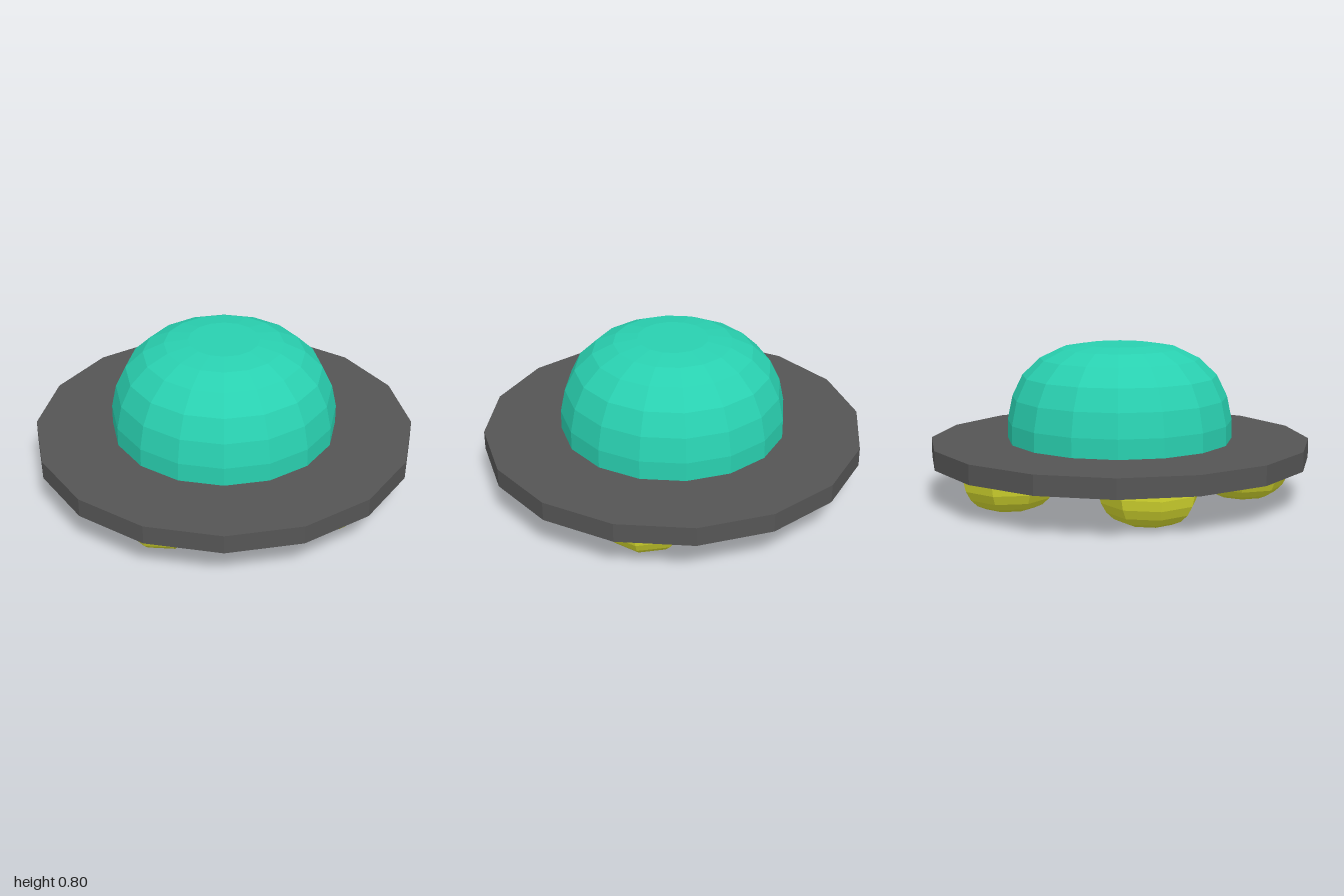
import * as THREE from 'three';

const material = (color) => new THREE.MeshStandardMaterial({ color, flatShading: true });

// Faceted turned shape; the profile runs from bottom to top as [radius, height].
function turned(name, profile, sides, mat) {
  const points = profile.map(([r, y]) => new THREE.Vector2(r, y));
  const mesh = new THREE.Mesh(new THREE.LatheGeometry(points, sides), mat);
  mesh.name = name;
  return mesh;
}

export function createModel() {
  const model = new THREE.Group();
  model.name = 'saucer';

  // Flat sixteen-sided disc
  const disc = new THREE.Mesh(new THREE.CylinderGeometry(1, 1, 0.1, 16), material(0x555555));
  disc.name = 'disc';
  disc.position.y = 0.25;
  model.add(disc);

  // Cabin dome with a flattened crown
  model.add(turned('dome', [
    [0.593, 0.3], [0.593, 0.4], [0.567, 0.525], [0.513, 0.637],
    [0.42, 0.727], [0.31, 0.78], [0.185, 0.8], [0, 0.8],
  ], 16, material(0x29d0b0)));

  // Five rounded pods under the disc, each turned to face outward
  const podMaterial = material(0xd8dc30);
  const podProfile = [
    [0, 0], [0.08, 0], [0.13, 0.008], [0.175, 0.028],
    [0.212, 0.063], [0.238, 0.11], [0.25, 0.16], [0.25, 0.2],
  ];
  for (let i = 0; i < 5; i++) {
    const angle = (i / 5) * Math.PI * 2;
    const pod = turned('pod', podProfile, 8, podMaterial);
    pod.position.set(0.65 * Math.sin(angle), 0, 0.65 * Math.cos(angle));
    pod.rotation.y = angle;
    model.add(pod);
  }

  return model;
}
